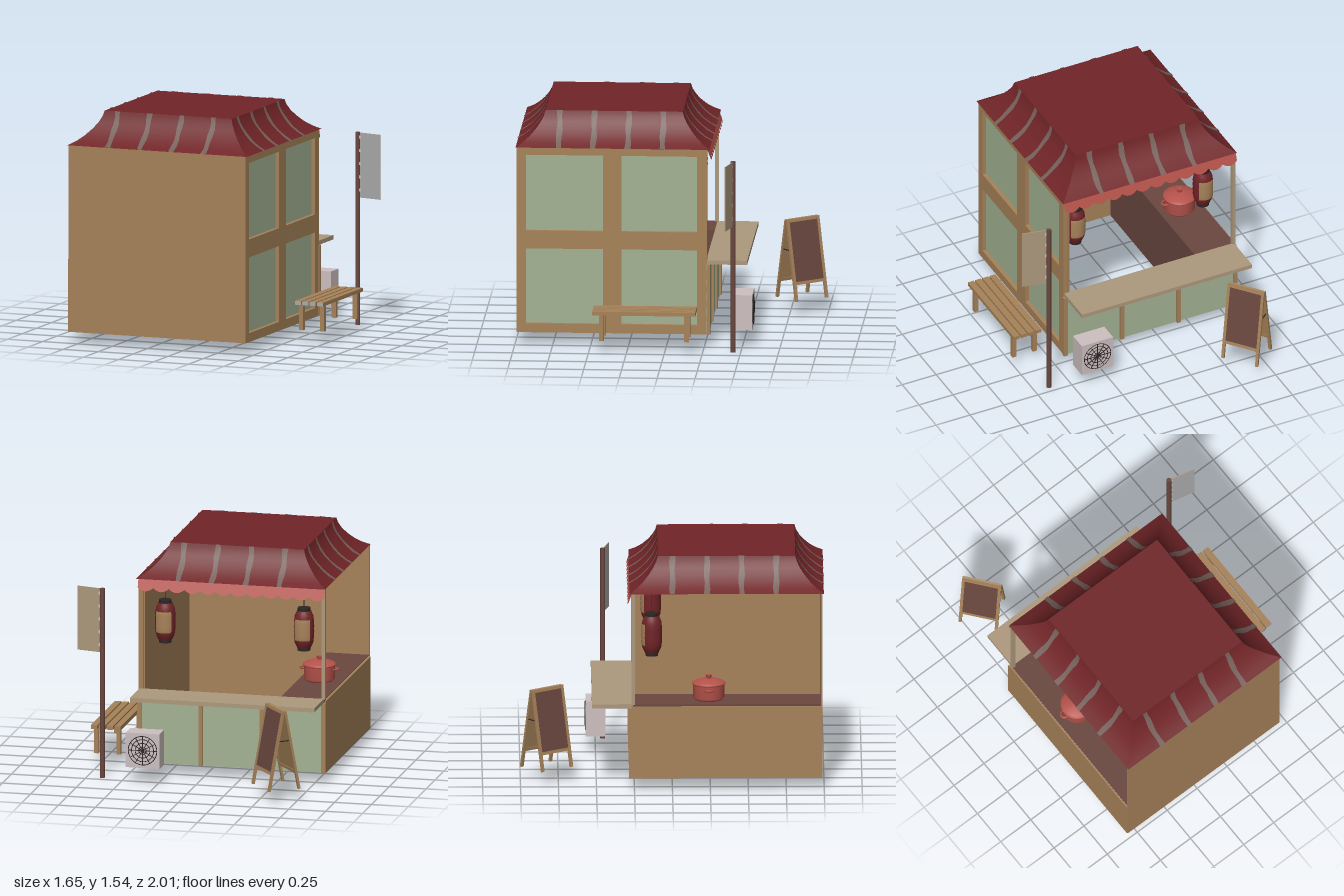
import * as THREE from 'three';

const mat = (name, color, side = THREE.FrontSide) => {
  const m = new THREE.MeshStandardMaterial({ color, side });
  m.name = name;
  return m;
};
const D = THREE.DoubleSide;

export function createModel() {
  const wood = mat('wood', 0xa68259, D);
  const pale = mat('pale wood', 0xad997d, D);
  const green = mat('green panel', 0xa3b293, D);
  const red = mat('roof red', 0x702427, D);
  const stripe = mat('roof stripe', 0x75605a, D);
  const brown = mat('dark brown', 0x6a473f, D);
  const coral = mat('coral red', 0xb5524a, D);
  const white = mat('pinkish white', 0xcdbfc0);
  const grey = mat('grey', 0xaaaaaa);
  const black = mat('black', 0x2c2625);

  const model = new THREE.Group();
  const add = (name, geo, material, x = 0, y = 0, z = 0, parent = model) => {
    const m = new THREE.Mesh(geo, material);
    m.name = name;
    m.position.set(x, y, z);
    parent.add(m);
    return m;
  };
  const group = (name, x, y, z, parent = model) => {
    const g = new THREE.Group();
    g.name = name;
    g.position.set(x, y, z);
    parent.add(g);
    return g;
  };
  // box given by its extents
  const block = (name, material, x0, x1, y0, y1, z0, z1, parent = model) =>
    add(name, new THREE.BoxGeometry(x1 - x0, y1 - y0, z1 - z0), material,
      (x0 + x1) / 2, (y0 + y1) / 2, (z0 + z1) / 2, parent);

  // ---- walls ----
  const W = -0.82, E = 0.445, base = 0.075, eave = 1.32;
  block('frontWall', wood, W, E, base, eave, 0.98, 0.99);
  block('lowSideWall', wood, W - 0.005, W + 0.005, base, 0.56, -0.27, 0.985);
  block('cornerPost', pale, W, W + 0.025, 0.57, eave, -0.27, -0.245);

  // side wall: frame with four recessed panels, drawn as (-z, y) and turned to face +x
  const frame = new THREE.Shape([[-0.985, base], [0.265, base], [0.265, eave], [-0.985, eave]]
    .map(p => new THREE.Vector2(...p)));
  for (const [a, b] of [[-0.93, -0.42], [-0.3, 0.2]]) {
    for (const [c, d] of [[0.135, 0.64], [0.76, 1.27]]) {
      frame.holes.push(new THREE.Path([[a, c], [a, d], [b, d], [b, c]]
        .map(p => new THREE.Vector2(...p))));
      block('windowPanel', green, E - 0.034, E - 0.026, c, d, -b, -a);
    }
  }
  add('sideWallFrame', new THREE.ExtrudeGeometry(frame, { depth: 0.03, bevelEnabled: false }),
    wood, E - 0.03).rotation.y = Math.PI / 2;
  block('sideWallLining', wood, E - 0.045, E - 0.035, base, eave, -0.265, 0.985);

  // serving side: green panels between posts
  block('servingPanel', green, W, E, base, 0.545, -0.27, -0.26);
  for (let i = 0; i < 4; i++) {
    const x = W + 0.008 + i * (E - W - 0.016) / 3;
    block('servingPost', wood, x - 0.014, x + 0.014, base, 0.545, -0.287, -0.262);
  }
  block('servingCounter', pale, -0.81, 0.44, 0.545, 0.573, -0.53, -0.26);

  // inner worktop, open underneath
  block('worktop', brown, W + 0.005, -0.52, 0.567, 0.573, -0.26, 0.98);
  block('worktopSide', brown, -0.526, -0.52, base, 0.57, -0.26, 0.98);

  // ---- roof with flared sides ----
  const roof = group('roof', -0.183, 0, 0.3575);
  const H = 0.64;
  const profile = [[0, 1.32], [0.045, 1.346], [0.088, 1.38], [0.126, 1.42],
    [0.156, 1.46], [0.177, 1.5], [0.187, 1.535]];
  const slope = (left, right, lift) => {
    const pos = [], idx = [];
    profile.forEach(([inset, y], i) => {
      pos.push(left(inset, i), y + lift * 0.5, H - inset + lift,
        right(inset, i), y + lift * 0.5, H - inset + lift);
      if (i) {
        const a = 2 * i - 2;
        idx.push(a, a + 1, a + 3, a, a + 3, a + 2);
      }
    });
    const g = new THREE.BufferGeometry();
    g.setAttribute('position', new THREE.Float32BufferAttribute(pos, 3));
    g.setIndex(idx);
    g.computeVertexNormals();
    return g;
  };
  for (let k = 0; k < 4; k++) {
    const side = group('roofSide', 0, 0, 0, roof);
    side.rotation.y = k * Math.PI / 2;
    add('roofSlope', slope(t => t - H, t => H - t, 0), red, 0, 0, 0, side);
    for (let i = 0; i < 4; i++) {
      const u = (i - 1.5) * 0.228 - 0.015;
      const wave = j => 0.004 * Math.sin(j * 1.7 + i * 2 + k);
      add('roofStripe', slope((t, j) => u - 0.018 + wave(j), (t, j) => u + 0.018 + wave(j + 1), 0.004),
        stripe, 0, 0, 0, side);
    }
  }
  const top = 2 * (H - 0.187);
  add('roofTop', new THREE.PlaneGeometry(top, top), red, 0, 1.535, 0, roof).rotation.x = -Math.PI / 2;
  add('ceiling', new THREE.PlaneGeometry(2 * H, 2 * H), red, 0, 1.32, 0, roof).rotation.x = Math.PI / 2;

  // scalloped valance over the serving side
  const n = 12, sw = (E - W) / n;
  const scallop = new THREE.Shape();
  scallop.moveTo(W, 0).lineTo(W, -0.058);
  for (let i = 0; i < n; i++) {
    scallop.quadraticCurveTo(W + (i + 0.5) * sw, -0.105, W + (i + 1) * sw, -0.058);
  }
  scallop.lineTo(E, 0);
  add('valance', new THREE.ShapeGeometry(scallop, 6), coral, 0, 1.318, -0.268).rotation.x = 0.36;

  // ---- lanterns ----
  const barrel = (lift, h) => Array.from({ length: 15 }, (_, i) => {
    const t = i / 7 - 1;
    return new THREE.Vector2(0.068 - 0.022 * t ** 4 + lift - (i % 2 ? 0.002 : 0), t * h);
  });
  for (const x of [-0.645, 0.295]) {
    const lantern = group('lantern', x, 1.01, -0.135);
    add('lanternBody', new THREE.LatheGeometry(barrel(0, 0.125), 20), red, 0, 0, 0, lantern);
    add('lanternPatch', new THREE.LatheGeometry(barrel(0.003, 0.125).slice(3, 12), 10, Math.PI - 0.85, 1.7),
      wood, 0, 0, 0, lantern);
    for (const s of [-1, 1]) {
      add('lanternCap', new THREE.CylinderGeometry(0.042, 0.042, 0.022, 16), black, 0, s * 0.134, 0, lantern);
    }
    add('lanternCord', new THREE.CylinderGeometry(0.003, 0.003, 0.17, 6), black, 0, 0.225, 0, lantern);
  }

  // ---- cooking pot ----
  const pot = group('pot', -0.66, 0.573, 0.24);
  add('potBody', new THREE.LatheGeometry([[0, 0], [0.09, 0], [0.103, 0.015], [0.103, 0.1],
    [0.11, 0.104], [0.11, 0.112], [0.095, 0.122], [0.05, 0.138], [0, 0.143]]
    .map(p => new THREE.Vector2(...p)), 28), coral, 0, 0, 0, pot);
  add('potKnob', new THREE.CylinderGeometry(0.022, 0.014, 0.025, 12), coral, 0, 0.152, 0, pot);
  for (const s of [-1, 1]) {
    add('potHandle', new THREE.TorusGeometry(0.025, 0.007, 6, 12), coral, s * 0.105, 0.08, 0, pot)
      .rotation.x = Math.PI / 2;
  }

  // ---- outdoor fan unit ----
  block('fanUnit', white, 0.23, 0.46, 0.11, 0.345, -0.565, -0.435);
  const grille = group('fanGrille', 0.345, 0.228, -0.567);
  for (const r of [0.025, 0.05, 0.075, 0.097]) {
    add('grilleRing', new THREE.TorusGeometry(r, 0.0025, 4, 28), black, 0, 0, 0, grille);
  }
  for (let i = 0; i < 6; i++) {
    add('grilleSpoke', new THREE.BoxGeometry(0.194, 0.004, 0.004), black, 0, 0, 0, grille)
      .rotation.z = i * Math.PI / 6;
  }

  // ---- banner on a pole ----
  const banner = group('bannerPole', 0.645, 0, -0.45);
  add('pole', new THREE.CylinderGeometry(0.016, 0.016, 1.285, 12), brown, 0, 0.6425, 0, banner);
  const flag = group('flag', 0, 0, 0, banner);
  flag.rotation.y = -0.23;
  block('flagCloth', [pale, pale, pale, pale, grey, pale], 0.02, 0.183, 0.85, 1.283, -0.003, 0.003, flag);
  for (let i = 0; i < 5; i++) {
    const y = 0.89 + i * 0.088;
    block('flagTie', white, 0.01, 0.028, y, y + 0.02, -0.004, 0.004, flag);
  }

  // ---- bench ----
  const bench = group('bench', 0.68, 0, 0.132);
  for (let i = 0; i < 4; i++) {
    const x = -0.1 + i * 0.053;
    block('benchPlank', [wood, wood, wood, wood, grey, wood], x, x + 0.043, 0.265, 0.29, -0.34, 0.34, bench);
  }
  for (const sx of [-1, 1]) {
    for (const z of [-0.282, 0.28]) {
      block('benchLeg', wood, sx * 0.075 - 0.015, sx * 0.075 + 0.015, 0.09, 0.265, z - 0.015, z + 0.015, bench);
    }
  }

  // ---- folding menu board ----
  const board = group('menuBoard', -0.622, 0, -0.828);
  board.rotation.y = -0.886;
  const L = 0.545;
  for (const s of [0, 1]) {
    const turn = group('boardLeaf', 0, 0.643, 0, board);
    turn.rotation.y = s * Math.PI;
    const leaf = group('leafTilt', 0, 0, 0.006, turn);
    leaf.rotation.x = -0.19;
    for (const x of [-0.122, 0.122]) {
      block('boardLeg', wood, x - 0.01, x + 0.01, -L, 0, -0.008, 0.008, leaf);
    }
    for (const y of [-0.01, -0.425]) {
      block('boardRail', wood, -0.122, 0.122, y - 0.01, y + 0.01, -0.008, 0.008, leaf);
    }
    block('boardFace', [wood, wood, wood, wood, brown, wood], -0.113, 0.113, -0.42, -0.01, -0.004, 0.004, leaf);
  }
  for (const x of [-0.122, 0.122]) {
    block('boardBrace', black, x - 0.003, x + 0.003, 0.437, 0.443, -0.042, 0.042, board);
  }

  return model;
}
